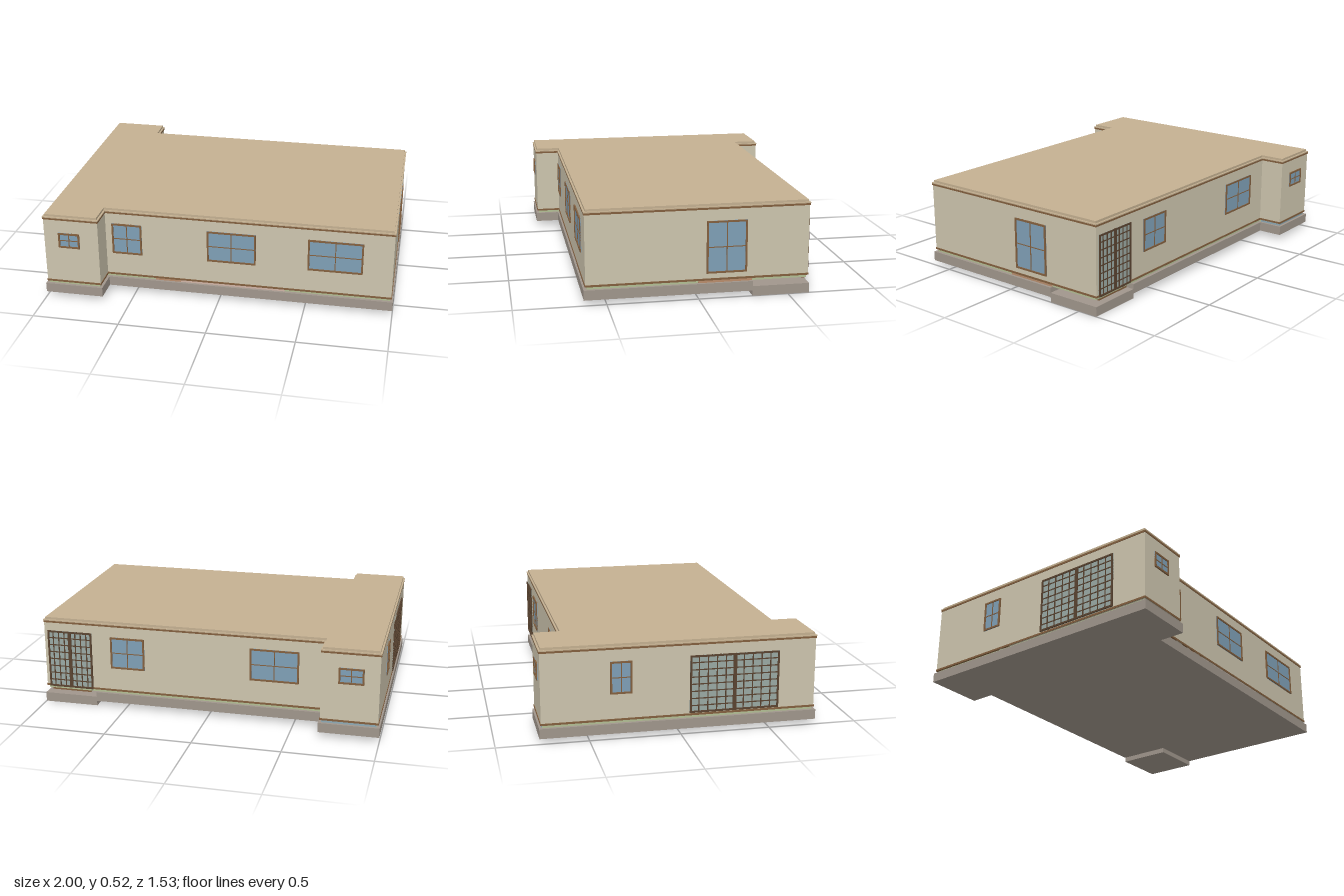
import * as THREE from 'three';

const mat = (color) => new THREE.MeshStandardMaterial({ color, flatShading: true });
const M = {
  wall: mat(0xcdc5ae), roof: mat(0xc4b091), brown: mat(0x83603f), slab: mat(0xa0968c),
  glass: mat(0x7f9fb6), lattice: mat(0x9aa9a4), dark: mat(0x5a4431),
  green: mat(0xb3bf95), orange: mat(0xb98d6c), pink: mat(0xd2b5a8), blue: mat(0x8faab5),
};

// Plan: a wide main block with a deeper wing along the -x side
const WALL = { x: 0.99, wing: -0.67, main: 0.613, deep: 0.757 };
const grow = (d) => ({ x: WALL.x + d, wing: WALL.wing + d, main: WALL.main + d, deep: WALL.deep + d });

function outline({ x, wing, main, deep }, notch) {
  const pts = [[-x, -deep], [wing, -deep], [wing, -main], [x, -main]];
  if (notch) pts.push([x, 0.3], [0.68, 0.3], [0.68, main]); // open corner for the porch
  else pts.push([x, main]);
  pts.push([wing, main], [wing, deep], [-x, deep]);
  return new THREE.Shape(pts.map(([a, b]) => new THREE.Vector2(a, b)));
}

function layer(parent, name, plan, y0, y1, material, notch = false) {
  const g = new THREE.ExtrudeGeometry(outline(plan, notch), { depth: y1 - y0, bevelEnabled: false });
  g.rotateX(-Math.PI / 2).translate(0, y0, 0);
  const m = new THREE.Mesh(g, material);
  m.name = name;
  parent.add(m);
}

function box(parent, name, x0, x1, y0, y1, z0, z1, material) {
  const m = new THREE.Mesh(new THREE.BoxGeometry(x1 - x0, y1 - y0, z1 - z0), material);
  m.position.set((x0 + x1) / 2, (y0 + y1) / 2, (z0 + z1) / 2);
  m.name = name;
  parent.add(m);
}

// Framed pane with an even grid of bars, built facing +z around its own centre
function pane(name, w, h, cols, rows, { frame = 0.01, bar = 0.005, glass = M.glass, trim = M.brown } = {}) {
  const g = new THREE.Group();
  g.name = name;
  const a = w / 2, b = h / 2;
  box(g, 'glass', -a, a, -b, b, -0.004, 0.003, glass);
  for (const s of [-1, 1]) {
    const cx = s * (a - frame / 2), cy = s * (b - frame / 2);
    box(g, 'frameSide', cx - frame / 2, cx + frame / 2, -b, b, -0.004, 0.008, trim);
    box(g, 'frameRail', -a + frame, a - frame, cy - frame / 2, cy + frame / 2, -0.004, 0.008, trim);
  }
  for (let i = 1; i < cols; i++) {
    const x = -a + (w * i) / cols;
    box(g, 'verticalBar', x - bar / 2, x + bar / 2, -b + frame, b - frame, 0, 0.006, trim);
  }
  for (let i = 1; i < rows; i++) {
    const y = -b + (h * i) / rows;
    box(g, 'crossBar', -a + frame, a - frame, y - bar / 2, y + bar / 2, 0, 0.0055, trim);
  }
  return g;
}

// Puts a pane on a wall; c is the position along that wall, d the wall's distance
function mount(parent, side, obj, c, y, d) {
  const [x, z, turn] = {
    front: [c, d, 0], back: [c, -d, Math.PI],
    right: [d, c, Math.PI / 2], left: [-d, c, -Math.PI / 2],
  }[side];
  obj.position.set(x, y, z);
  obj.rotation.y = turn;
  parent.add(obj);
}

export function createModel() {
  const house = new THREE.Group();
  house.name = 'house';

  // Foundation and sunken porch
  layer(house, 'foundation', grow(0.01), 0.03, 0.085, M.slab, true);
  box(house, 'porchStep', 0.68, 1, 0, 0.055, -0.62, -0.3, M.slab);
  box(house, 'porchSill', 0.72, 0.96, 0.075, 0.1, -0.605, -0.585, M.brown);

  // Room floors showing in the gap beneath the walls
  layer(house, 'floor', grow(-0.008), 0.085, 0.1, M.green);
  box(house, 'floorOrange', -0.38, -0.23, 0.085, 0.1, 0.4, 0.608, M.orange);
  box(house, 'floorPink', -0.23, 0.38, 0.085, 0.1, 0.4, 0.608, M.pink);
  box(house, 'floorHall', 0.7, 0.985, 0.085, 0.1, -0.3, 0, M.orange);
  box(house, 'floorWing', -0.98, -0.675, 0.085, 0.1, -0.752, -0.62, M.blue);

  // Walls, trim bands and flat roof
  layer(house, 'walls', WALL, 0.1, 0.508, M.wall);
  layer(house, 'lowerBand', grow(0.003), 0.1, 0.111, M.brown);
  layer(house, 'upperBand', grow(0.003), 0.495, 0.506, M.brown);
  layer(house, 'cornice', grow(0.004), 0.506, 0.512, M.roof);
  layer(house, 'roof', grow(-0.006), 0.508, 0.525, M.roof);

  // Cross-barred windows: side, start, end, bottom, top, wall distance
  const windows = [
    ['front', -0.905, -0.78, 0.325, 0.417, WALL.deep],
    ['front', -0.632, -0.455, 0.243, 0.433, WALL.main],
    ['front', -0.07, 0.213, 0.243, 0.433, WALL.main],
    ['front', 0.51, 0.822, 0.243, 0.433, WALL.main],
    ['back', -0.905, -0.765, 0.325, 0.417, WALL.deep],
    ['back', -0.525, -0.243, 0.243, 0.433, WALL.main],
    ['back', 0.38, 0.585, 0.243, 0.433, WALL.main],
    ['right', -0.267, -0.043, 0.14, 0.432, WALL.x],
    ['left', -0.385, -0.265, 0.25, 0.43, WALL.x],
  ];
  for (const [side, a, b, y0, y1, d] of windows)
    mount(house, side, pane('window', b - a, y1 - y0, 2, 2), (a + b) / 2, (y0 + y1) / 2, d);

  // Latticed sliding doors, two leaves each
  const doors = [
    ['back', 0.7, 0.97, 0.1, 0.447, WALL.main, 4],
    ['left', 0.05, 0.55, 0.115, 0.437, WALL.x, 5],
  ];
  for (const [side, a, b, y0, y1, d, cols] of doors) {
    const w = (b - a) / 2;
    for (const c of [a + w / 2, b - w / 2]) {
      const leaf = pane('latticeDoor', w, y1 - y0, cols, 8, { bar: 0.006, glass: M.lattice, trim: M.dark });
      mount(house, side, leaf, c, (y0 + y1) / 2, d);
    }
  }
  return house;
}
